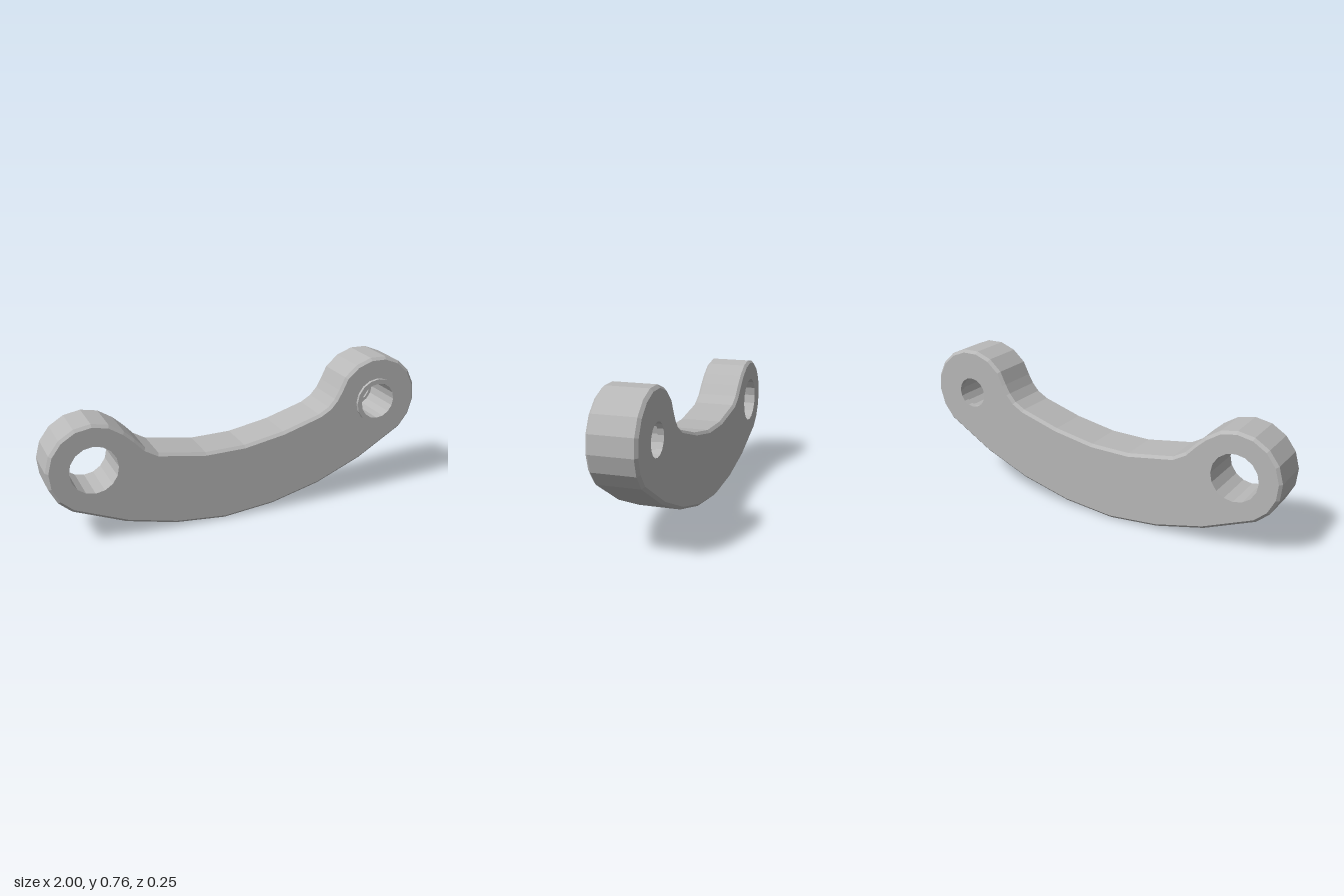
import * as THREE from 'three';

const FRONT = 0.11, BACK = -0.125, BEVEL = 0.014, SIDES = 16;
const LEFT_EYE = [-0.768, 0.385], RIGHT_EYE = [0.762, 0.525];

// Points on an arc, angles in degrees
function arc([cx, cy], r, from, to, steps) {
  return Array.from({ length: steps + 1 }, (_, i) => {
    const a = THREE.MathUtils.degToRad(from + (to - from) * i / steps);
    return new THREE.Vector2(cx + r * Math.cos(a), cy + r * Math.sin(a));
  });
}

// Move every corner of a counter-clockwise outline inwards by d
function inset(points, d) {
  const n = points.length;
  return points.map((p, i) => {
    const a = p.clone().sub(points[(i + n - 1) % n]).normalize();
    const b = points[(i + 1) % n].clone().sub(p).normalize();
    const na = new THREE.Vector2(-a.y, a.x), nb = new THREE.Vector2(-b.y, b.x);
    const k = d / (1 + na.dot(nb));
    return p.clone().add(na.add(nb).multiplyScalar(k));
  });
}

// Side wall made of outline loops stacked from back to front
function wallGeometry(loops) {
  const pos = [], n = loops[0].points.length;
  for (let k = 0; k < loops.length - 1; k++) {
    for (let i = 0; i < n; i++) {
      const at = (l, j) => [l.points[j % n].x, l.points[j % n].y, l.z];
      const a = at(loops[k], i), b = at(loops[k], i + 1);
      const c = at(loops[k + 1], i + 1), d = at(loops[k + 1], i);
      pos.push(...a, ...b, ...c, ...a, ...c, ...d);
    }
  }
  const g = new THREE.BufferGeometry();
  g.setAttribute('position', new THREE.Float32BufferAttribute(pos, 3));
  g.computeVertexNormals();
  return g;
}

// Flat face with the two eye holes
function faceGeometry(points, z, rightRadius, flip) {
  const shape = new THREE.Shape(points);
  for (const [c, r] of [[LEFT_EYE, 0.121], [RIGHT_EYE, rightRadius]]) {
    shape.holes.push(new THREE.Path(arc(c, r, 0, 360, SIDES).slice(0, SIDES)));
  }
  const g = new THREE.ShapeGeometry(shape);
  if (flip) {
    g.setIndex(Array.from(g.index.array).reverse());
    g.computeVertexNormals();
  }
  return g.translate(0, 0, z);
}

// Turned surface about the z axis; the profile is [radius, z] pairs
function turned([cx, cy], profile) {
  const g = new THREE.LatheGeometry(profile.map(p => new THREE.Vector2(...p)), SIDES);
  return g.rotateX(Math.PI / 2).translate(cx, cy, 0);
}

export function createModel() {
  const group = new THREE.Group();
  group.name = 'curvedLinkArm';
  const steel = new THREE.MeshStandardMaterial({ color: 0xb8b8b8 });
  steel.name = 'plain grey';
  steel.flatShading = true;
  const add = (name, geometry) => {
    const mesh = new THREE.Mesh(geometry, steel);
    mesh.name = name;
    group.add(mesh);
  };

  // Outline: curved underside, right eye, curved upper side, left eye
  const curve = list => list.map(p => new THREE.Vector2(...p));
  const outline = [
    ...curve([[-0.62, 0.08], [-0.365, 0.022], [-0.1, 0], [0.17, 0.03], [0.435, 0.1], [0.68, 0.205]]),
    ...arc(RIGHT_EYE, 0.236, -48, 142, 9),
    ...curve([[0.545, 0.605], [0.52, 0.56], [0.485, 0.52], [0.43, 0.488], [0.225, 0.425],
      [0.01, 0.385], [-0.2, 0.38], [-0.445, 0.418], [-0.51, 0.455], [-0.56, 0.508]]),
    ...arc(LEFT_EYE, 0.231, 47, 240, 9),
  ];
  const inner = inset(outline, BEVEL);

  // Arm body with chamfered rims
  add('armSides', wallGeometry([
    { points: inner, z: BACK },
    { points: outline, z: BACK + BEVEL },
    { points: outline, z: FRONT - BEVEL },
    { points: inner, z: FRONT },
  ]));
  add('armFront', faceGeometry(inner, FRONT, 0.12, false));
  add('armBack', faceGeometry(inner, BACK, 0.08, true));

  // Plain through hole
  add('largeBore', turned(LEFT_EYE, [[0.121, FRONT], [0.121, BACK]]));

  // Raised collar with a stepped bore
  add('collarAndSteppedBore', turned(RIGHT_EYE, [
    [0.12, FRONT], [0.12, 0.125], [0.095, 0.125],
    [0.095, -0.095], [0.08, -0.095], [0.08, BACK],
  ]));
  return group;
}
